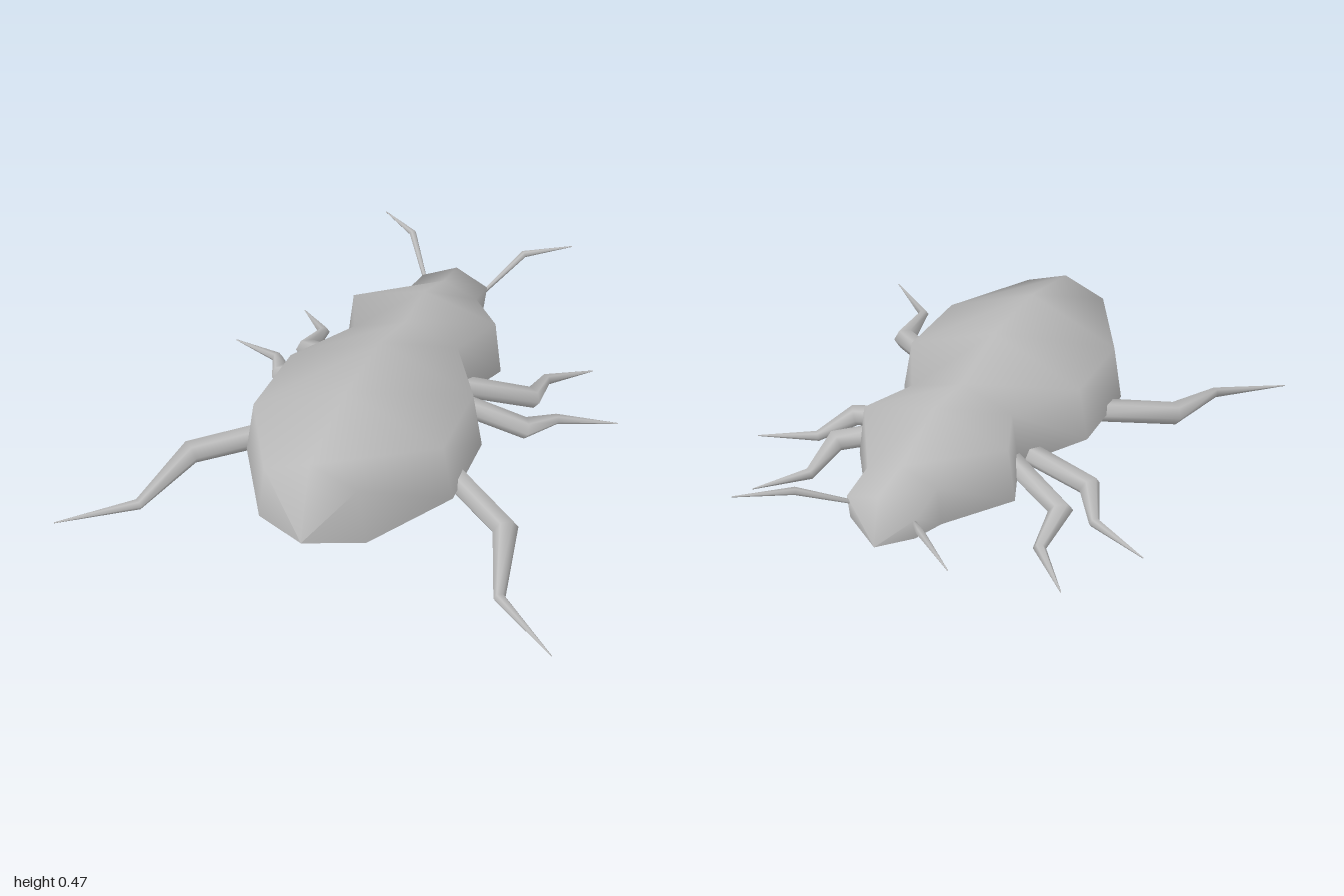
import * as THREE from 'three';

const shellGrey = new THREE.MeshStandardMaterial({ color: 0xbbbbbb, side: THREE.DoubleSide });
shellGrey.name = 'shellGrey';

// Skins a list of rings (each a list of Vector3) into one smooth surface.
function loft(rings, closed) {
  const n = rings[0].length;
  const index = [];
  for (let i = 0; i < rings.length - 1; i++) {
    for (let j = 0; j < (closed ? n : n - 1); j++) {
      const k = (j + 1) % n;
      const a = i * n + j, b = i * n + k, c = a + n, d = b + n;
      index.push(a, c, b, b, c, d);
    }
  }
  const geometry = new THREE.BufferGeometry().setFromPoints(rings.flat());
  geometry.setIndex(index);
  geometry.computeVertexNormals();
  return geometry;
}

// Tapered, jointed limb through [x, y, z, radius] points.
function limb(name, joints, sides = 6) {
  const up = new THREE.Vector3(0, 1, 0);
  const p = joints.map(([x, y, z]) => new THREE.Vector3(x, y, z));
  const rings = p.map((point, i) => {
    const before = point.clone().sub(p[Math.max(i - 1, 0)]).normalize();
    const after = p[Math.min(i + 1, p.length - 1)].clone().sub(point).normalize();
    const t = before.clone().add(after).normalize();
    const u = up.clone().cross(t).normalize();
    const v = t.clone().cross(u);
    // widen the mitre at a bend
    const inner = i > 0 && i < p.length - 1;
    const widen = inner ? 1 / Math.max(0.6, t.dot(after)) : 1;
    return Array.from({ length: sides }, (_, j) => {
      const angle = (-j / sides) * Math.PI * 2;
      return point.clone()
        .addScaledVector(u, Math.cos(angle) * joints[i][3] * widen)
        .addScaledVector(v, Math.sin(angle) * joints[i][3]);
    });
  });
  const mesh = new THREE.Mesh(loft(rings, true), shellGrey);
  mesh.name = name;
  return mesh;
}

export function createModel() {
  const model = new THREE.Group();
  model.name = 'beetle';

  // Body shell, open underneath: z, rim half width, rim y, shoulder half width,
  // shoulder y, ridge y, ridge z
  const sections = [
    [-0.71, 0.13, 0.145, 0.14, 0.235, 0.29, -0.73],
    [-0.565, 0.155, 0.115, 0.14, 0.265, 0.32, -0.57],
    [-0.325, 0.325, 0.115, 0.295, 0.33, 0.415, -0.325],
    [-0.12, 0.24, 0.115, 0.21, 0.33, 0.4, -0.12],
    [0.145, 0.4, 0.115, 0.36, 0.33, 0.475, 0.145],
    [0.475, 0.4, 0.115, 0.36, 0.33, 0.475, 0.475],
    [0.8, 0.2, 0.115, 0.17, 0.335, 0.4, 0.8],
  ];
  const V = (x, y, z) => new THREE.Vector3(x, y, z);
  const tip = (y, z) => Array.from({ length: 5 }, () => V(0, y, z));
  const rings = sections.map(([z, w, y, sw, sy, ry, rz]) =>
    [V(-w, y, z), V(-sw, sy, z), V(0, ry, rz), V(sw, sy, z), V(w, y, z)]);
  const body = new THREE.Mesh(loft([tip(0.1, -0.77), ...rings, tip(0.13, 0.895)], false), shellGrey);
  body.name = 'bodyShell';
  model.add(body);

  // Legs and antennae of one side, then mirrored
  const limbs = [
    ['rearLeg', [[0.28, 0.125, 0.3, 0.046], [0.61, 0.075, 0.52, 0.044], [0.68, 0.027, 0.805, 0.02], [0.915, 0.021, 0.995, 0.002]]],
    ['middleLeg', [[0.22, 0.135, -0.05, 0.042], [0.505, 0.07, -0.065, 0.04], [0.59, 0.032, -0.21, 0.02], [0.815, 0.012, -0.292, 0.002]]],
    ['frontLeg', [[0.23, 0.14, -0.145, 0.042], [0.475, 0.075, -0.255, 0.04], [0.48, 0.037, -0.44, 0.022], [0.635, 0.015, -0.595, 0.002]]],
    ['antenna', [[0.13, 0.215, -0.71, 0.008], [0.245, 0.328, -0.87, 0.014], [0.415, 0.329, -0.998, 0.002]]],
  ];
  for (const [name, joints] of limbs) {
    const left = limb(name + 'Left', joints);
    const right = left.clone();
    right.name = name + 'Right';
    right.scale.x = -1;
    model.add(left, right);
  }
  return model;
}
